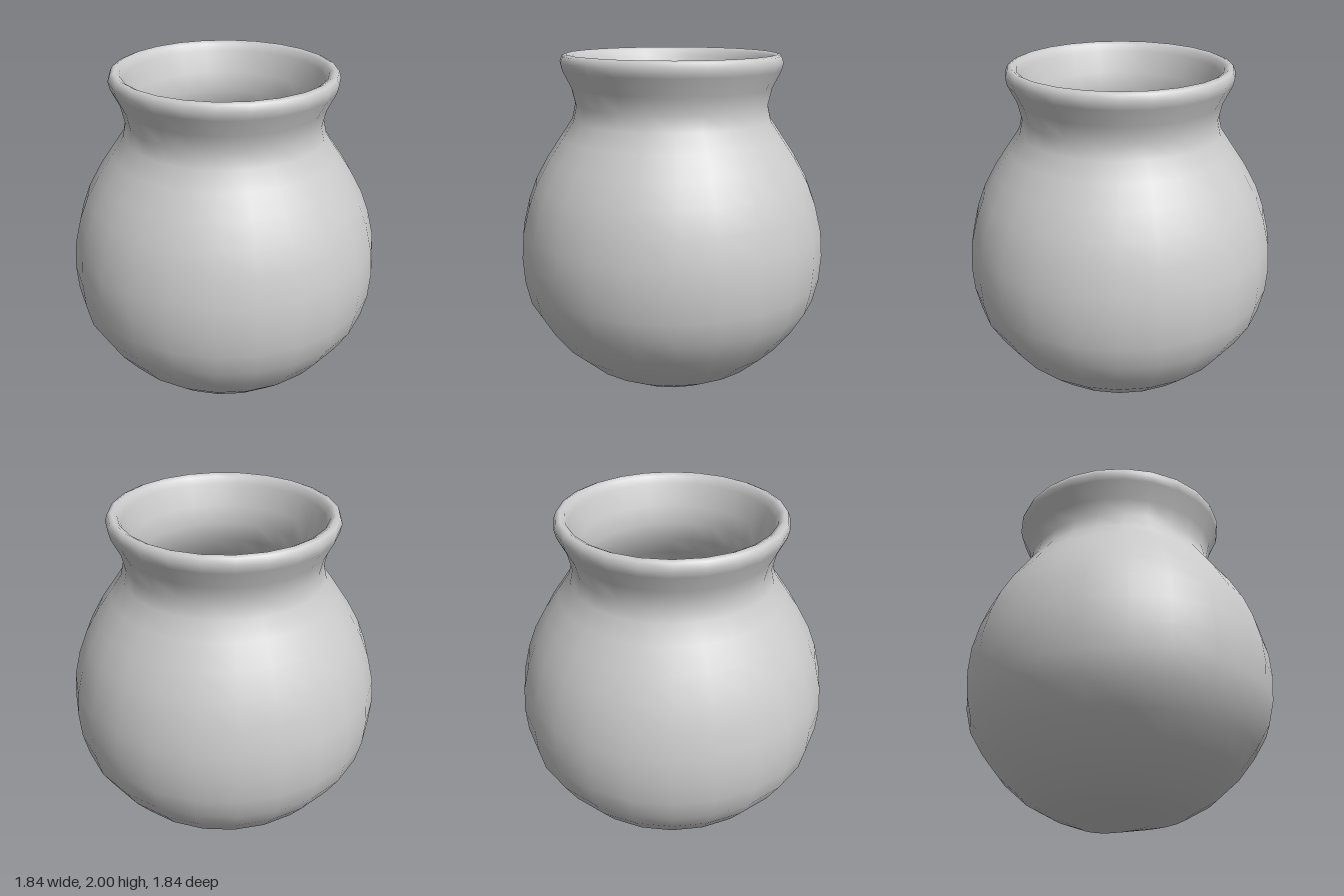
import * as THREE from 'three';

export function createModel() {
  const group = new THREE.Group();
  const material = new THREE.MeshStandardMaterial({ color: 0xcccccc });

  // Outer wall [radius, height], from the base centre up to the lip
  const outer = [
    [0, 0], [0.2, 0.012], [0.4, 0.05], [0.56, 0.14], [0.7, 0.265], [0.8, 0.395],
    [0.88, 0.53], [0.912, 0.67], [0.922, 0.82], [0.91, 0.97], [0.87, 1.13],
    [0.82, 1.26], [0.745, 1.395], [0.66, 1.52], [0.592, 1.62], [0.572, 1.71], [0.595, 1.81],
  ];
  // Rolled lip
  const lip = [
    [0.645, 1.91], [0.655, 1.955], [0.642, 1.99], [0.618, 2], [0.59, 1.985], [0.572, 1.945],
  ];
  // Inner wall, from the neck down to the floor
  const inner = [
    [0.525, 1.82], [0.5, 1.71], [0.525, 1.59], [0.6, 1.47], [0.685, 1.35], [0.755, 1.22],
    [0.805, 1.1], [0.842, 0.96], [0.852, 0.82], [0.842, 0.69], [0.81, 0.56],
    [0.74, 0.44], [0.65, 0.32], [0.52, 0.21], [0.37, 0.125], [0.19, 0.085], [0, 0.075],
  ];
  const profile = [...outer, ...lip, ...inner].map(([r, y]) => new THREE.Vector2(r, y));
  const geometry = new THREE.LatheGeometry(profile, 24);

  // The flat of the base is a little longer from front to back
  const pos = geometry.attributes.position;
  for (let i = 0; i < pos.count; i++) {
    if (i % profile.length === 1) pos.setZ(i, pos.getZ(i) * 1.55);
  }

  const pot = new THREE.Mesh(geometry, material);
  pot.name = 'pot';
  group.add(pot);
  return group;
}
